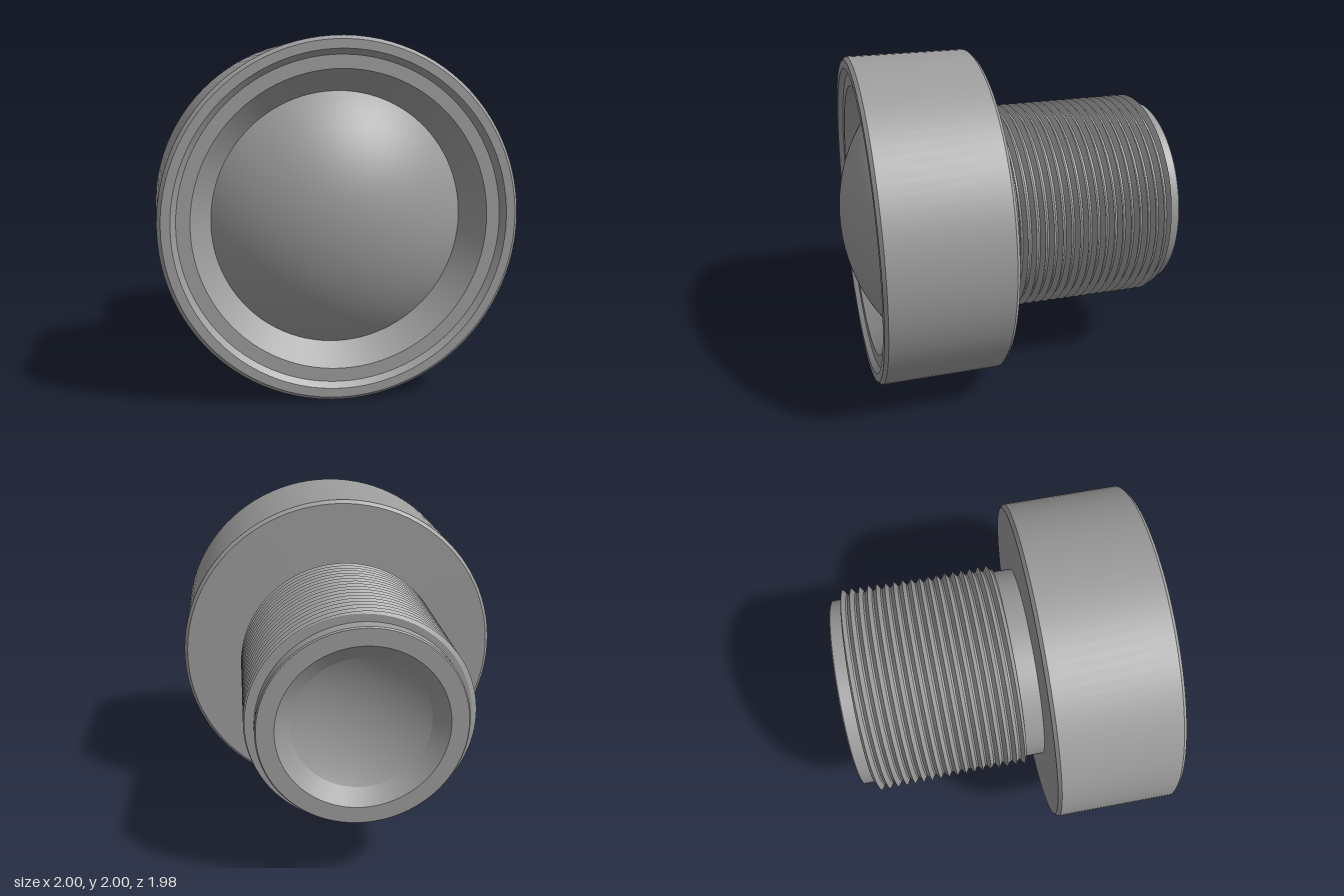
import * as THREE from 'three';
import { mergeGeometries } from 'three/addons/utils/BufferGeometryUtils.js';

const SEG = 96;
const grey = new THREE.MeshStandardMaterial({ color: 0x9d9d9d });
grey.name = 'grey';

// Lathe about z with every profile corner kept sharp; points are [radius, z]
function sharpLathe(points) {
  const bands = points.slice(1).map((p, i) => new THREE.LatheGeometry(
    [new THREE.Vector2(...points[i]), new THREE.Vector2(...p)], SEG));
  return mergeGeometries(bands).rotateX(Math.PI / 2);
}

// Smooth spherical surface from an arc; z0 at the axis, z1 at the rim
function dome(rim, z0, z1, outward) {
  const sag = Math.abs(z0 - z1);
  const R = (rim * rim + sag * sag) / (2 * sag);
  const pts = [];
  for (let i = 0; i <= 24; i++) {
    const a = Math.asin(rim / R) * i / 24;
    pts.push(new THREE.Vector2(R * Math.sin(a), z0 + Math.sign(z1 - z0) * R * (1 - Math.cos(a))));
  }
  if (outward) pts.reverse();
  return new THREE.LatheGeometry(pts, SEG).rotateX(Math.PI / 2);
}

// Right-handed helical thread, cut square at both ends
function threadGeometry() {
  const back = -0.91, front = 0.03, pitch = 0.0533, root = 0.61, crest = 0.642, half = 0.4;
  const pos = [];
  const crestZ = a => 0.005 + pitch * (a / (2 * Math.PI) - 0.25);
  const radius = (a, z) => {
    const t = (z - crestZ(a)) / pitch;
    const d = Math.abs(t - Math.round(t));
    return root + (crest - root) * Math.max(0, 1 - d / half);
  };
  const point = (a, z, r = radius(a, z)) => new THREE.Vector3(r * Math.cos(a), r * Math.sin(a), z);
  const strips = [];
  const addStrip = (lower, upper) => {
    const p = [], index = [];
    for (let j = 0; j <= SEG; j++) {
      const a = j / SEG * Math.PI * 2;
      p.push(...lower(a).toArray(), ...upper(a).toArray());
      if (j < SEG) {
        const k = j * 2;
        index.push(k, k + 2, k + 1, k + 2, k + 3, k + 1);
      }
    }
    const g = new THREE.BufferGeometry();
    g.setAttribute('position', new THREE.Float32BufferAttribute(p, 3));
    g.setIndex(index);
    g.computeVertexNormals();
    strips.push(g);
  };
  // Two flanks and a narrow root for each turn
  const steps = [-half, 0, half, 1 - half];
  const clampZ = z => Math.min(front, Math.max(back, z));
  for (let n = -19; n <= 2; n++) {
    for (let s = 0; s < 3; s++) {
      const edge = k => a => point(a, clampZ(crestZ(a) + pitch * (n + steps[k])));
      addStrip(edge(s), edge(s + 1));
    }
  }
  // End walls
  addStrip(a => point(a, back, 0.58), a => point(a, back));
  addStrip(a => point(a, front), a => point(a, front, 0.59));
  return mergeGeometries(strips);
}

export function createModel() {
  const model = new THREE.Group();
  const add = (name, geometry) => {
    const mesh = new THREE.Mesh(geometry, grey);
    mesh.name = name;
    mesh.position.y = 1;
    model.add(mesh);
  };

  // Threaded barrel with a tapered rear opening
  add('barrel', sharpLathe([
    [0.39, -0.92], [0.48, -0.99], [0.578, -0.99], [0.585, -0.983],
    [0.585, -0.91], [0.597, -0.91], [0.597, 0.145]]));
  add('thread', threadGeometry());

  // Wide head with chamfered rims and a stepped front recess
  add('head', sharpLathe([
    [0.597, 0.145], [0.98, 0.145], [1, 0.165], [1, 0.865], [0.98, 0.885],
    [0.93, 0.885], [0.9, 0.855], [0.825, 0.855], [0.707, 0.72]]));

  // Convex front lens and recessed rear lens
  add('frontLens', dome(0.707, 0.99, 0.72, true));
  add('rearLens', dome(0.39, -0.83, -0.92, false));
  return model;
}
